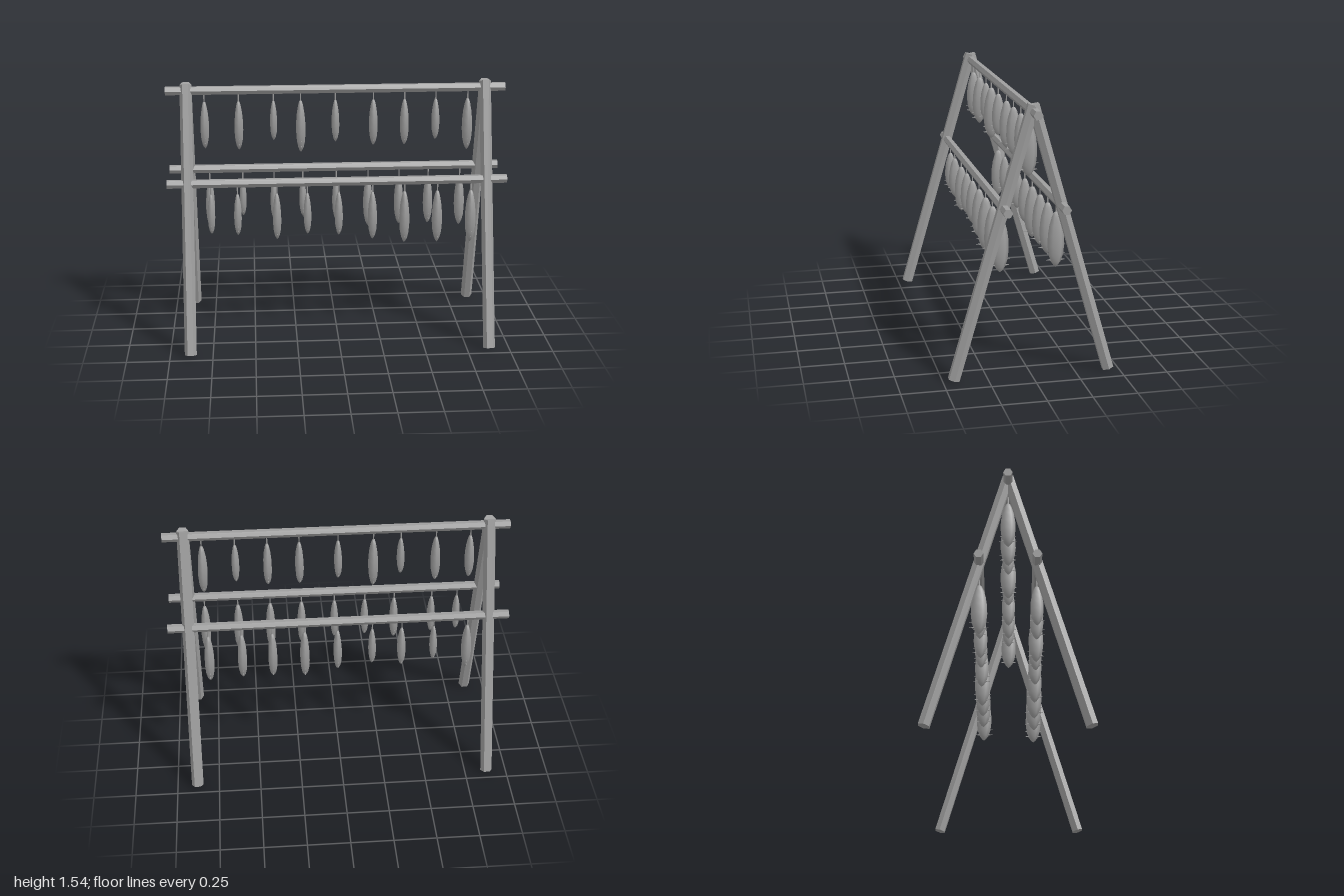
import * as THREE from 'three';

const gray = new THREE.MeshStandardMaterial({ color: 0x9e9e9e });
gray.name = 'grey wood';

function add(parent, name, geometry, x = 0, y = 0, z = 0) {
  const mesh = new THREE.Mesh(geometry, gray);
  mesh.name = name;
  mesh.position.set(x, y, z);
  parent.add(mesh);
  return mesh;
}

// Hexagonal pole with crisp faces
function poleGeometry(radius, length, thetaStart) {
  return new THREE.CylinderGeometry(radius, radius, length, 6, 1, false, thetaStart).toNonIndexed();
}

// Spindle body of unit length, hanging down from y = 0: [depth, radius]
const profile = [
  [1, 0], [0.96, 0.3], [0.9, 0.58], [0.78, 0.86], [0.6, 1], [0.42, 0.96],
  [0.25, 0.8], [0.1, 0.52], [0.02, 0.28], [0, 0],
].map(([d, r]) => new THREE.Vector2(r, -d));
const bodyGeometry = new THREE.LatheGeometry(profile, 6);
bodyGeometry.scale(0.1, 1, 0.15);

// Small pointed side fin
const finGeometry = new THREE.ConeGeometry(0.02, 0.1, 4);
finGeometry.rotateX(Math.PI / 2);
finGeometry.scale(0.8, 1, 1);

function hangingFish(x, railY, z, bottom) {
  const fish = new THREE.Group();
  fish.name = 'hangingFish';
  const top = railY - 0.065;
  const length = top - bottom;
  add(fish, 'string', new THREE.CylinderGeometry(0.004, 0.004, 0.08, 5), x, top + 0.03, z);
  add(fish, 'fishBody', bodyGeometry, x, top, z).scale.setScalar(length);
  for (const side of [1, -1]) {
    for (const depth of [0.76, 0.87]) {
      const fin = add(fish, 'fin', finGeometry, x, top - depth * length, z + side * 0.128 * length);
      fin.scale.setScalar(length);
      fin.rotation.y = side > 0 ? 0 : Math.PI;
    }
  }
  return fish;
}

// Each rail with its fish: [x, bottom height]
const rows = [
  { name: 'topRail', y: 1.49, z: 0, fish: [[-0.775, 1.14], [-0.575, 1.13], [-0.37, 1.185],
    [-0.21, 1.11], [-0.005, 1.17], [0.22, 1.145], [0.405, 1.145], [0.59, 1.175], [0.78, 1.11]] },
  { name: 'frontRail', y: 0.97, z: 0.16, fish: [[-0.745, 0.66], [-0.59, 0.65], [-0.36, 0.62],
    [-0.18, 0.65], [0.005, 0.64], [0.205, 0.61], [0.395, 0.585], [0.59, 0.585], [0.79, 0.58]] },
  { name: 'backRail', y: 0.97, z: -0.16, fish: [[-0.76, 0.6], [-0.56, 0.67], [-0.37, 0.64],
    [-0.195, 0.66], [0.01, 0.63], [0.205, 0.59], [0.395, 0.6], [0.575, 0.6], [0.77, 0.585]] },
];

export function createModel() {
  const model = new THREE.Group();
  model.name = 'dryingRack';

  // Crossed legs at both ends
  const footZ = 0.439, footY = 0.0085, topY = 1.527;
  const rise = topY - footY;
  const legGeometry = poleGeometry(0.035, Math.hypot(footZ, rise), Math.PI / 2);
  legGeometry.computeVertexNormals();
  for (const x of [-0.88, 0.88]) {
    for (const side of [1, -1]) {
      const leg = add(model, side > 0 ? 'frontLeg' : 'backLeg', legGeometry,
        x, (topY + footY) / 2, side * footZ / 2);
      leg.rotation.x = -side * Math.atan2(footZ, rise);
    }
  }

  // Rails and the fish hung from them
  const railGeometry = poleGeometry(0.0265, 2, 0).rotateZ(Math.PI / 2);
  railGeometry.computeVertexNormals();
  for (const row of rows) {
    add(model, row.name, railGeometry, 0, row.y, row.z);
    for (const [x, bottom] of row.fish) model.add(hangingFish(x, row.y, row.z, bottom));
  }
  return model;
}
